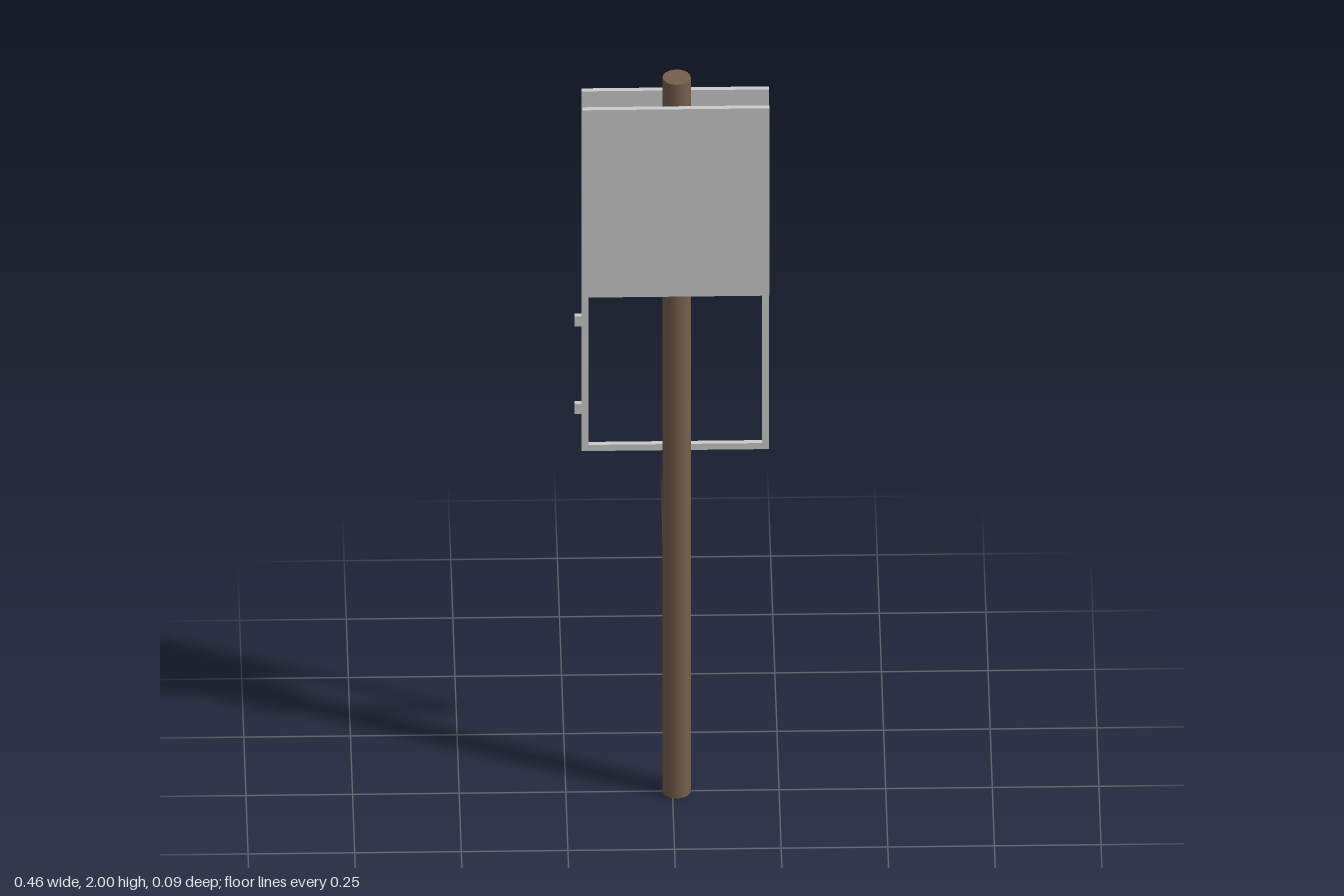
import * as THREE from 'three';

export function createModel() {
  const group = new THREE.Group();
  const grey = new THREE.MeshStandardMaterial({ color: 0xcccccc });
  const wood = new THREE.MeshStandardMaterial({ color: 0x75604c });

  const add = (name, geometry, material) => {
    const mesh = new THREE.Mesh(geometry, material);
    mesh.name = name;
    group.add(mesh);
    return mesh;
  };
  // Box given by its lower and upper limits
  const addBox = (name, [x0, y0, z0], [x1, y1, z1]) =>
    add(name, new THREE.BoxGeometry(x1 - x0, y1 - y0, z1 - z0), grey)
      .position.set((x0 + x1) / 2, (y0 + y1) / 2, (z0 + z1) / 2);

  const left = 0.227, right = -0.212, top = 1.94;
  const backZ = -0.048, thick = 0.013;

  // Round post
  add('post', new THREE.CylinderGeometry(0.033, 0.033, 2, 20), wood)
    .position.set(0.01, 1, 0);

  // Front board
  addBox('frontBoard', [right, 1.415, 0.033], [left, top, 0.046]);

  // Rear board: solid above, open frame below
  const outline = new THREE.Shape([
    new THREE.Vector2(right, 0.932), new THREE.Vector2(left, 0.932),
    new THREE.Vector2(left, top), new THREE.Vector2(right, top),
  ]);
  outline.holes.push(new THREE.Path([
    new THREE.Vector2(right + 0.016, 0.949), new THREE.Vector2(right + 0.016, 1.395),
    new THREE.Vector2(left - 0.016, 1.395), new THREE.Vector2(left - 0.016, 0.949),
  ]));
  add('rearBoardWithFrame',
    new THREE.ExtrudeGeometry(outline, { depth: thick, bevelEnabled: false }), grey)
    .position.z = backZ;

  // Small hinge tabs on the frame's edge
  for (const y of [1.05, 1.295]) {
    addBox('hingeTab', [-0.229, y - 0.014, backZ], [right, y + 0.014, backZ + thick]);
  }
  return group;
}
